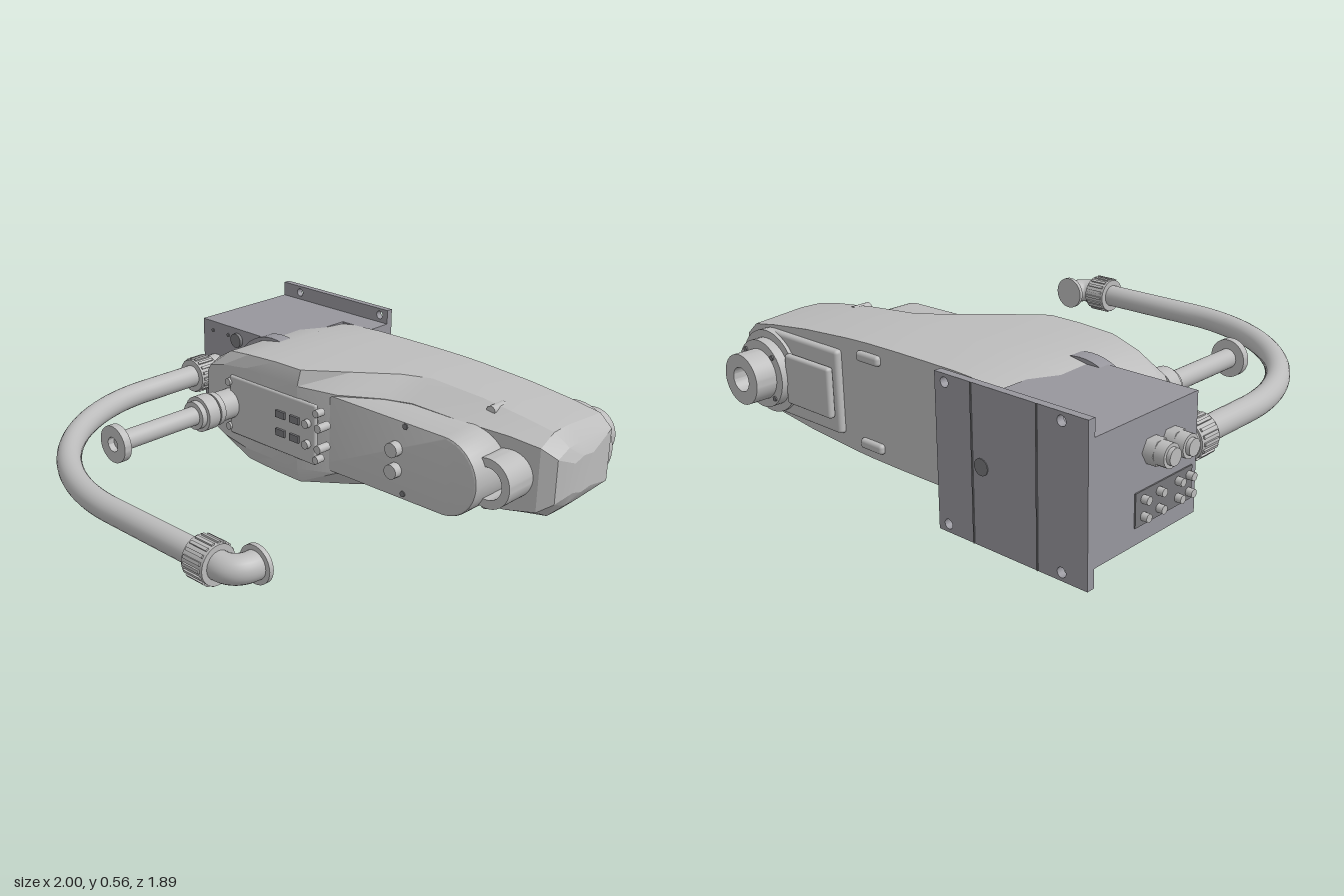
import * as THREE from 'three';
import { toCreasedNormals } from 'three/addons/utils/BufferGeometryUtils.js';
import { RoundedBoxGeometry } from 'three/addons/geometries/RoundedBoxGeometry.js';

const CY = 0.285; // height of the centre line
const V = (x, y, z) => new THREE.Vector3(x, y, z);

export function createModel() {
  const root = new THREE.Group();
  const shell = new THREE.MeshStandardMaterial({ name: 'light grey', color: 0xbcbcbc });
  const baseGrey = new THREE.MeshStandardMaterial({ name: 'base grey', color: 0x97969d });
  const dark = new THREE.MeshStandardMaterial({ name: 'dark grey', color: 0x77777a });

  const add = (name, geo, mat, x = 0, y = 0, z = 0) => {
    const m = new THREE.Mesh(geo, mat);
    m.name = name;
    m.position.set(x, y, z);
    root.add(m);
    return m;
  };
  const box = (name, mat, x0, x1, y0, y1, z0, z1) =>
    add(name, new THREE.BoxGeometry(x1 - x0, y1 - y0, z1 - z0), mat, (x0 + x1) / 2, (y0 + y1) / 2, (z0 + z1) / 2);
  const cylZ = (name, mat, r, x, y, z0, z1, n = 32, r2 = r) =>
    add(name, new THREE.CylinderGeometry(r2, r, z1 - z0, n).rotateX(Math.PI / 2), mat, x, y, (z0 + z1) / 2);
  const cylX = (name, mat, r, y, z, x0, x1, n = 32) =>
    add(name, new THREE.CylinderGeometry(r, r, x1 - x0, n).rotateZ(-Math.PI / 2), mat, (x0 + x1) / 2, y, z);
  // Hollow cylinder along z
  const tubeZ = (name, mat, r, ri, x, z0, z1) => {
    const s = new THREE.Shape().absarc(0, 0, r, 0, Math.PI * 2);
    s.holes.push(new THREE.Path().absarc(0, 0, ri, 0, Math.PI * 2, true));
    const g = new THREE.ExtrudeGeometry(s, { depth: z1 - z0, bevelEnabled: false, curveSegments: 32 });
    return add(name, toCreasedNormals(g, 0.5), mat, x, CY, z0);
  };

  // Arm housing, lofted along x: x, half height, ridge z, front z, front half height, back z
  const stations = [
    [-0.655, 0.07, -0.24, -0.2, 0.06, -0.7],
    [-0.64, 0.11, -0.2, -0.16, 0.09, -0.78],
    [-0.6, 0.155, -0.19, -0.14, 0.13, -0.78],
    [-0.5, 0.213, -0.17, -0.125, 0.16, -0.78],
    [-0.36, 0.238, -0.14, -0.12, 0.18, -0.78],
    [-0.2, 0.247, -0.14, -0.12, 0.18, -0.78],
    [-0.06, 0.248, -0.14, -0.12, 0.18, -0.78],
    [0.1, 0.248, -0.265, -0.18, 0.17, -0.78],
    [0.25, 0.246, -0.39, -0.29, 0.165, -0.78],
    [0.36, 0.241, -0.45, -0.33, 0.165, -0.78],
    [0.6, 0.222, -0.46, -0.33, 0.16, -0.78],
    [0.8, 0.196, -0.46, -0.36, 0.15, -0.78],
    [0.92, 0.174, -0.465, -0.385, 0.13, -0.78],
    [0.975, 0.12, -0.49, -0.42, 0.09, -0.78],
    [1.0, 0.075, -0.55, -0.5, 0.06, -0.62],
  ];
  const pos = [], idx = [], N = 8;
  stations.forEach(([x, h, zr, zf, hf, zb], i) => {
    const half = [[h * 0.91, zb], [h, Math.min(zr - 0.01, -0.56)], [h * 0.985, zr], [hf, zf]];
    for (const [y, z] of half) pos.push(x, CY + y, z);
    for (const [y, z] of half.reverse()) pos.push(x, CY - y, z);
    if (i === 0) return;
    for (let j = 0; j < N; j++) {
      const a = (i - 1) * N + j, b = (i - 1) * N + (j + 1) % N;
      idx.push(a, b, a + N, b, b + N, a + N);
    }
  });
  const last = (stations.length - 1) * N;
  for (let k = 1; k < N - 1; k++) idx.push(0, k + 1, k, last, last + k, last + k + 1);
  const arm = new THREE.BufferGeometry();
  arm.setAttribute('position', new THREE.Float32BufferAttribute(pos, 3));
  arm.setIndex(idx);
  add('armHousing', toCreasedNormals(arm, 0.35), shell);

  // Rounded front cover
  const cover = new THREE.Shape();
  cover.moveTo(0, -0.165).lineTo(0.64, -0.16);
  cover.absarc(0.64, 0, 0.16, -Math.PI / 2, Math.PI / 2);
  cover.lineTo(0, 0.165);
  const coverGeo = new THREE.ExtrudeGeometry(cover, {
    depth: 0.18, bevelThickness: 0.01, bevelSize: 0.01, bevelOffset: -0.01, bevelSegments: 2, curveSegments: 20 });
  add('frontCover', toCreasedNormals(coverGeo, 0.6), shell, 0, CY, -0.36);
  for (const y of [0.33, 0.24]) cylZ('coverKnob', shell, 0.03, 0.42, y, -0.18, -0.135, 20);
  for (const y of [0.43, 0.15]) cylZ('coverScrew', dark, 0.012, 0.46, y, -0.172, -0.166, 12);

  // Hollow shaft at the arm tip, with its stepped back plates
  tubeZ('frontSleeve', shell, 0.1, 0.065, 0.8, -0.4, -0.235);
  tubeZ('backSleeve', shell, 0.1, 0.048, 0.8, -0.95, -0.83);
  cylZ('shaftPlate', shell, 0.135, 0.8, CY, -0.86, -0.8, 40);
  cylZ('shaftStep', shell, 0.165, 0.8, CY, -0.82, -0.77, 40);
  add('backPlate', new RoundedBoxGeometry(0.42, 0.33, 0.04, 2, 0.015), shell, 0.61, CY, -0.785);
  add('backPanel', new RoundedBoxGeometry(0.26, 0.2, 0.03, 2, 0.012), shell, 0.55, CY, -0.82);
  for (const s of [-1, 1]) {
    add('slotCover', new RoundedBoxGeometry(0.12, 0.04, 0.03, 2, 0.014), shell, 0.24, CY + s * 0.17, -0.785);
    box('backTab', shell, -0.25, -0.215, CY + s * 0.12 - 0.02, CY + s * 0.12 + 0.02, -0.83, -0.77);
    cylZ('sideScrew', shell, 0.02, 0.665, CY + s * 0.195, -0.5, -0.42, 16);
    for (let k = 0; k < 4; k++) {
      const a = (k + 0.5) * Math.PI / 2;
      cylZ('shaftScrew', dark, 0.01, 0.8 + 0.117 * Math.cos(a), CY + s * 0.117 * Math.sin(a), -0.866, -0.858, 10);
    }
  }

  // Service panel on the front of the arm
  add('servicePanel', new RoundedBoxGeometry(0.5, 0.26, 0.02, 2, 0.009), shell, -0.2, CY, -0.12);
  for (const x of [-0.45, 0.06]) for (const s of [-1, 1]) {
    cylZ('panelScrew', shell, 0.016, x, CY + s * 0.1, -0.14, -0.1, 14);
  }
  for (const x of [-0.14, -0.06]) for (const s of [-1, 1])
    box('panelSocket', dark, x - 0.025, x + 0.025, CY + s * 0.04 - 0.015, CY + s * 0.04 + 0.015, -0.12, -0.1);
  for (const x of [0.01, 0.08]) for (const s of [-1, 1])
    cylZ('panelPlug', shell, 0.018, x, CY + s * 0.045, -0.15, -0.09, 16);

  // Base: mounting plate with bolt holes, and body block
  const plate = new THREE.Shape([[-0.905, 0], [-0.255, 0], [-0.255, 0.565], [-0.905, 0.565]]
    .map(([x, y]) => new THREE.Vector2(x, y)));
  for (const x of [-0.8, -0.3]) for (const y of [0.03, 0.535])
    plate.holes.push(new THREE.Path().absarc(x, y, 0.018, 0, Math.PI * 2, true));
  add('mountingPlate', new THREE.ExtrudeGeometry(plate, { depth: 0.03, bevelEnabled: false }), baseGrey, 0, 0, -0.925);
  for (const x of [-0.7, -0.42]) box('plateGroove', dark, x - 0.003, x + 0.003, 0, 0.565, -0.928, -0.922);
  cylZ('plateHole', dark, 0.03, -0.46, CY, -0.928, -0.922, 24);
  box('baseBody', baseGrey, -0.905, -0.42, 0.068, 0.502, -0.9, -0.375);
  box('baseShoulder', baseGrey, -0.45, -0.255, 0.068, 0.502, -0.9, -0.782);
  for (const y of [0.45, 0.12]) cylZ('baseCap', dark, 0.032, -0.68, y, -0.38, -0.36, 24);
  for (const x of [-0.84, -0.74]) for (const y of [0.46, 0.11]) cylZ('baseScrew', dark, 0.008, x, y, -0.38, -0.37, 10);

  // Collar between base and arm
  cylZ('turningCollar', baseGrey, 0.235, -0.44, CY, -0.42, -0.355, 48);

  // Cable glands and small plugs on the base side
  for (const z of [-0.62, -0.52]) {
    cylX('glandNut', shell, 0.048, 0.375, z, -0.945, -0.9, 6);
    cylX('glandBody', shell, 0.042, 0.375, z, -0.985, -0.94, 24);
    cylX('glandTip', shell, 0.03, 0.375, z, -1, -0.98, 24);
  }
  for (const z of [-0.66, -0.58, -0.48, -0.42]) for (const y of [0.16, 0.22])
    cylX('sidePlug', shell, 0.015, y, z, -0.935, -0.9, 14);
  box('sideSocketPlate', dark, -0.91, -0.9, 0.13, 0.25, -0.7, -0.4);

  // Curved cable conduit
  const path = new THREE.CurvePath();
  path.add(new THREE.LineCurve3(V(-0.82, CY, -0.25), V(-0.82, CY, 0.05)));
  path.add(new THREE.CubicBezierCurve3(V(-0.82, CY, 0.05), V(-0.82, CY, 0.47), V(-0.44, CY, 0.865), V(0, CY, 0.865)));
  path.add(new THREE.LineCurve3(V(0, CY, 0.865), V(0.48, CY, 0.865)));
  add('conduit', new THREE.TubeGeometry(path, 80, 0.048, 24), shell);

  // Ribbed nut, built along z
  const nut = (name, len) => {
    const g = new THREE.Group();
    g.name = name;
    g.add(new THREE.Mesh(new THREE.CylinderGeometry(0.073, 0.073, len, 32).rotateX(Math.PI / 2), shell));
    for (let i = 0; i < 18; i++) {
      const a = i * Math.PI / 9;
      const rib = new THREE.Mesh(new THREE.BoxGeometry(0.012, 0.012, len * 0.8), shell);
      rib.position.set(0.073 * Math.cos(a), 0.073 * Math.sin(a), 0);
      rib.rotation.z = a;
      g.add(rib);
    }
    root.add(g);
    return g;
  };
  nut('baseNut', 0.1).position.set(-0.82, CY, -0.27);
  cylZ('baseFitting', shell, 0.065, -0.82, CY, -0.38, -0.31);
  const endNut = nut('endNut', 0.1);
  endNut.position.set(0.505, CY, 0.865);
  endNut.rotation.y = Math.PI / 2;

  // Elbow and its end flange
  const elbow = new THREE.CurvePath();
  elbow.add(new THREE.LineCurve3(V(0.54, CY, 0.865), V(0.56, CY, 0.865)));
  elbow.add(new THREE.CubicBezierCurve3(V(0.56, CY, 0.865), V(0.605, CY, 0.865), V(0.635, CY, 0.84), V(0.635, CY, 0.78)));
  add('elbow', new THREE.TubeGeometry(elbow, 24, 0.052, 24), shell);
  cylZ('elbowFlange', shell, 0.07, 0.635, CY, 0.765, 0.783);

  // Straight post with rings and end flange
  const px = -0.455;
  cylZ('post', shell, 0.04, px, CY, -0.05, 0.48);
  cylZ('postCollar', shell, 0.064, px, CY, -0.13, -0.02);
  for (const [z0, z1, r] of [[-0.03, -0.005, 0.072], [0.005, 0.04, 0.076], [0.04, 0.065, 0.076], [0.065, 0.09, 0.06]])
    cylZ('postRing', shell, r, px, CY, z0, z1);
  tubeZ('postFlange', shell, 0.077, 0.03, px, 0.475, 0.508);
  return root;
}
